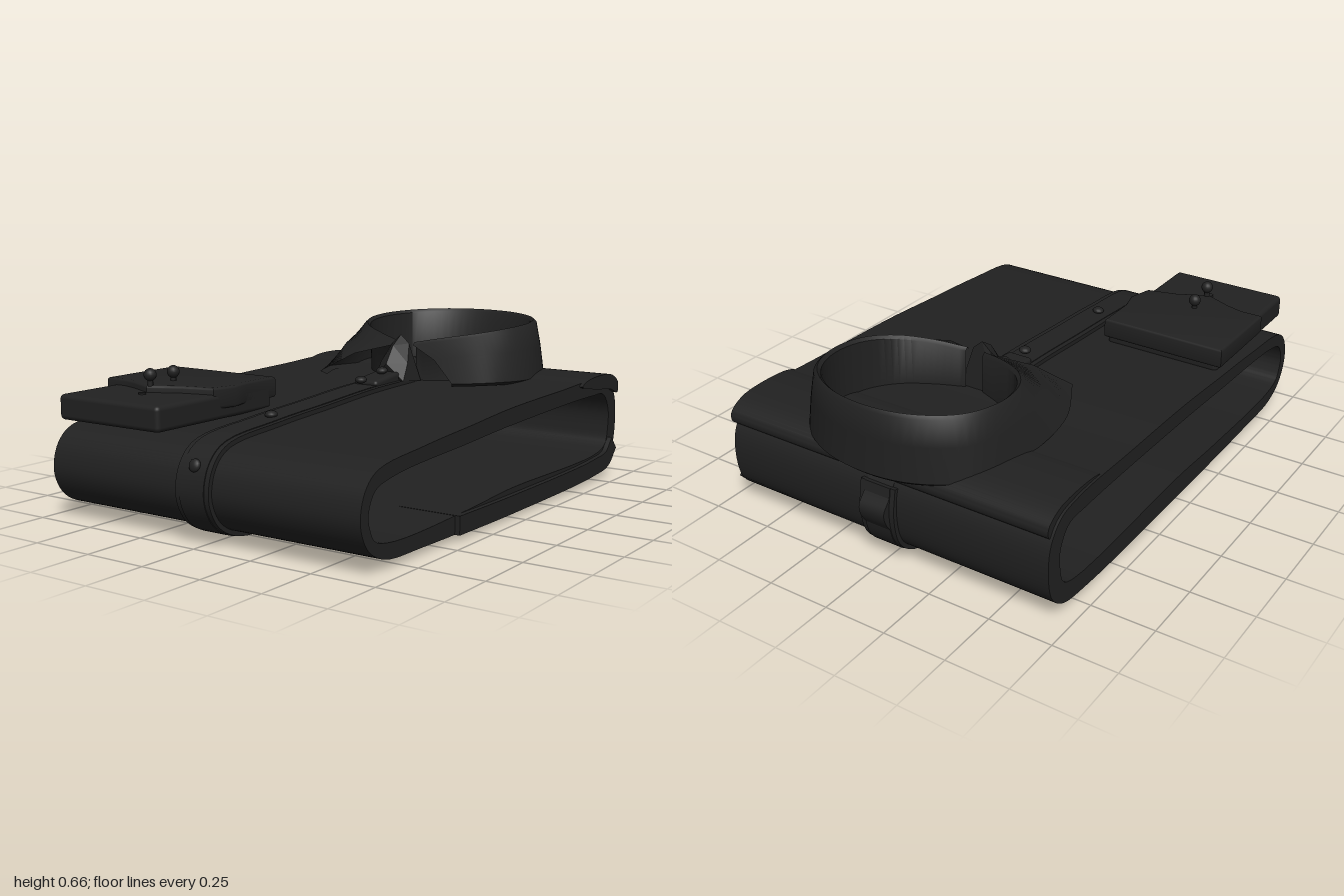
import * as THREE from 'three';
import { toCreasedNormals } from 'three/addons/utils/BufferGeometryUtils.js';
import { RoundedBoxGeometry } from 'three/addons/geometries/RoundedBoxGeometry.js';
import { ConvexGeometry } from 'three/addons/geometries/ConvexGeometry.js';

// Side profile of the folded body as [z, y]: front, over the top, back, underneath
const OUTER = [
  [0.98, 0.2], [0.955, 0.28], [0.89, 0.335], [0.6, 0.37], [0.3, 0.39], [0, 0.41], [-0.4, 0.42],
  [-0.75, 0.425], [-0.87, 0.4], [-0.93, 0.33], [-0.945, 0.22], [-0.92, 0.11], [-0.85, 0.05],
  [-0.7, 0.027], [0, 0.017], [0.6, 0.022], [0.84, 0.035], [0.93, 0.08], [0.97, 0.14],
];
const INNER = [
  [0.935, 0.2], [0.9, 0.27], [0.8, 0.3], [0.3, 0.33], [0, 0.345], [-0.7, 0.36], [-0.82, 0.35],
  [-0.87, 0.28], [-0.87, 0.2], [-0.85, 0.14], [-0.78, 0.11], [0, 0.105], [0.3, 0.09], [0.8, 0.085],
  [0.9, 0.11], [0.925, 0.15],
];

export function createModel() {
  const group = new THREE.Group();
  const cloth = new THREE.MeshStandardMaterial({ color: 0x212121, side: THREE.DoubleSide });
  cloth.name = 'charcoal cloth';

  const add = (name, geo) => {
    const mesh = new THREE.Mesh(geo, cloth);
    mesh.name = name;
    group.add(mesh);
    return mesh;
  };
  const smooth = (pts, closed, n) =>
    new THREE.CatmullRomCurve3(pts.map(([a, b]) => new THREE.Vector3(a, b, 0)), closed, 'centripetal')
      .getPoints(n).slice(0, closed ? n : n + 1).map((p) => new THREE.Vector2(p.x, p.y));

  // Extrudes a [z, y] shape across x from x0 to x1
  const across = (shape, x0, x1) => {
    const geo = new THREE.ExtrudeGeometry(shape, { depth: x1 - x0, bevelEnabled: false });
    geo.rotateY(-Math.PI / 2).translate(x1, 0, 0);
    return toCreasedNormals(geo, 0.6);
  };
  // Band that follows a [z, y] path with a given thickness
  const band = (pts, x0, x1, thickness) => {
    const path = smooth(pts, false, 90);
    const raised = path.map((p, i) => {
      const a = path[Math.max(i - 1, 0)], b = path[Math.min(i + 1, path.length - 1)];
      const d = b.clone().sub(a).normalize();
      return new THREE.Vector2(p.x - d.y * thickness, p.y + d.x * thickness);
    });
    return across(new THREE.Shape([...raised, ...path.reverse()]), x0, x1);
  };

  // Folded body, open at both sides
  const bodyShape = new THREE.Shape(smooth(OUTER, true, 120));
  bodyShape.holes.push(new THREE.Path(smooth(INNER, true, 120)));
  add('foldedBody', across(bodyShape, -0.7, 0.68));

  // Button placket: down the chest, around the front fold, underneath and up the back
  const wrap = [...OUTER.slice(0, 7).reverse(), ...OUTER.slice(9).reverse()];
  wrap[0] = [-0.3, 0.417];
  add('placket', band(wrap, -0.08, 0.07, 0.017));
  add('placketStitchedEdge', band(wrap, -0.06, 0.05, 0.02));

  // Pleat at the back and folded sleeve along the lower left edge
  const pleat = new THREE.Shape(smooth([[-0.92, 0.35], [-0.96, 0.29], [-0.99, 0.25], [-0.985, 0.21], [-0.955, 0.16], [-0.91, 0.1]], false, 20));
  add('backPleat', across(pleat, -0.06, 0.05));
  add('foldedSleeve', band([[0.4, 0.018], [0, 0.014], [-0.7, 0.024], [-0.85, 0.046], [-0.92, 0.11]], 0.45, 0.7, -0.07));

  // Shoulder yoke
  const yoke = new THREE.Shape(smooth([[-0.58, 0.415], [-0.62, 0.432], [-0.75, 0.442], [-0.87, 0.43], [-0.93, 0.39], [-0.925, 0.35], [-0.86, 0.37], [-0.7, 0.39]], true, 40));
  add('shoulderYoke', across(yoke, -0.69, 0.695));

  // Collar: half sections from the nape to the wing tip, [foot x, y, z, fold x, y, z]
  const half = [
    [0, 0.4, -0.995, 0, 0.66, -0.99],
    [0.2, 0.405, -0.965, 0.18, 0.658, -0.955],
    [0.36, 0.41, -0.86, 0.32, 0.652, -0.85],
    [0.42, 0.42, -0.7, 0.375, 0.645, -0.7],
    [0.44, 0.43, -0.5, 0.355, 0.635, -0.55],
    [0.42, 0.44, -0.35, 0.28, 0.62, -0.44],
    [0.37, 0.445, -0.24, 0.165, 0.602, -0.365],
    [0.32, 0.45, -0.15, 0.04, 0.58, -0.31],
  ];
  const sections = [
    ...half.slice(1).reverse().map(([a, b, c, d, e, f]) => [-a, b, c, -d, e, f]), ...half,
  ];
  const inward = (x, y, z, s) => [x * s, y, -0.67 + (z + 0.67) * s];
  const rows = [
    ([a, b, c]) => inward(a, b - 0.015, c, 0.95),
    ([a, b, c]) => [a, b, c],
    ([a, b, c, d, e, f]) => [a * 0.55 + d * 0.45, b * 0.5 + e * 0.5 + 0.012, c * 0.55 + f * 0.45],
    ([, , , d, e, f]) => inward(d, e - 0.012, f, 1.01),
    ([, , , d, e, f]) => inward(d, e, f, 0.975),
    ([, , , d, e, f]) => inward(d, e - 0.012, f, 0.94),
    ([, , , d, , f]) => inward(d, 0.41, f, 0.93),
  ].map((row) => new THREE.CatmullRomCurve3(
    sections.map((s) => new THREE.Vector3(...row(s)).add(new THREE.Vector3(0.015, 0, 0)))));
  const steps = 70, positions = [], index = [];
  rows.forEach((curve, r) => {
    for (let i = 0; i <= steps; i++) {
      positions.push(...curve.getPoint(i / steps).toArray());
      if (r === 0 || i === 0) continue;
      const a = (r - 1) * (steps + 1) + i - 1, b = a + steps + 1;
      index.push(a, a + 1, b, a + 1, b + 1, b);
    }
  });
  const collar = new THREE.BufferGeometry();
  collar.setAttribute('position', new THREE.Float32BufferAttribute(positions, 3));
  collar.setIndex(index);
  add('collar', toCreasedNormals(collar, 0.8));

  // Closed collar band at the throat
  const throat = [[0, 0.61, -0.3], [0, 0.57, -0.24], [0, 0.5, -0.19]];
  for (const s of [-1, 1]) {
    throat.push([s * 0.04, 0.575, -0.3], [s * 0.065, 0.5, -0.25], [s * 0.07, 0.43, -0.21], [s * 0.08, 0.42, -0.33]);
  }
  add('collarBand', new ConvexGeometry(throat.map((p) => new THREE.Vector3(...p))));
  const tab = add('collarTab', new RoundedBoxGeometry(0.11, 0.045, 0.2, 3, 0.015));
  tab.position.set(-0.005, 0.438, -0.145);
  tab.rotation.x = 0.12;

  // Folded cuff: lower block and pointed flap
  add('cuffBase', new RoundedBoxGeometry(0.49, 0.095, 0.63, 3, 0.018)).position.set(-0.415, 0.423, 0.665);
  const flap = new THREE.Shape([
    [-0.68, 0.335], [-0.18, 0.335], [-0.18, 0.5], [-0.16, 0.58], [-0.185, 0.67], [-0.3, 0.7],
    [-0.42, 0.76], [-0.53, 0.71], [-0.6, 0.69], [-0.68, 0.69],
  ].map(([x, z]) => new THREE.Vector2(x, -z)));
  const flapGeo = new THREE.ExtrudeGeometry(flap, { depth: 0.06, bevelSize: 0.01, bevelThickness: 0.01, bevelSegments: 3 });
  flapGeo.rotateX(-Math.PI / 2).translate(0, 0.426, 0);
  add('cuffFlap', toCreasedNormals(flapGeo, 0.6));

  // Cuff buttons on short stems
  for (const [x, y, z] of [[-0.425, 0.53, 0.62], [-0.415, 0.535, 0.755]]) {
    add('cuffButton', new THREE.SphereGeometry(0.024, 16, 12)).position.set(x, y, z);
    add('cuffButtonStem', new THREE.CylinderGeometry(0.011, 0.011, 0.09, 10)).position.set(x, y - 0.045, z);
  }
  add('cuffButtonhole', new THREE.CylinderGeometry(0.014, 0.014, 0.008, 12)).position.set(-0.405, 0.473, 0.81);

  // Shirt buttons: [y, z, tilt]
  for (const [y, z, tilt] of [[0.475, -0.165, 0.15], [0.455, -0.015, 0.05], [0.4, 0.56, 0.08], [0.285, 0.978, 1.25]]) {
    const button = add('shirtButton', new THREE.SphereGeometry(0.024, 16, 10));
    button.scale.y = 0.6;
    button.position.set(-0.005, y, z);
    button.rotation.x = tilt;
  }
  return group;
}
